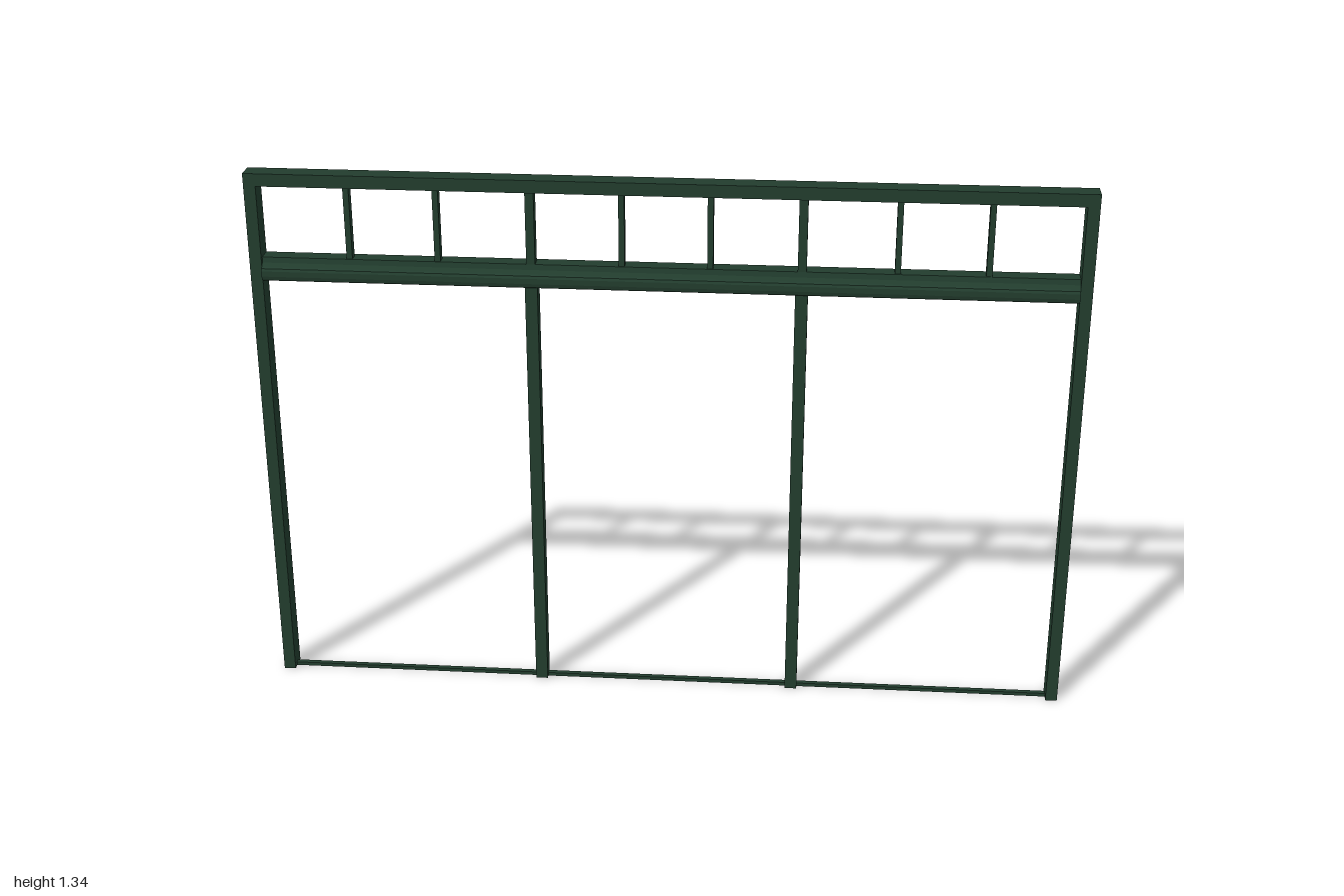
import * as THREE from 'three';

export function createModel() {
  const model = new THREE.Group();
  model.name = 'partitionFrame';
  const paint = new THREE.MeshStandardMaterial({ color: 0x223d2e, flatShading: true });

  const bar = (name, x0, x1, y0, y1, z0, z1) => {
    const mesh = new THREE.Mesh(new THREE.BoxGeometry(x1 - x0, y1 - y0, z1 - z0), paint);
    mesh.position.set((x0 + x1) / 2, (y0 + y1) / 2, (z0 + z1) / 2);
    mesh.name = name;
    model.add(mesh);
  };

  const H = 1.343, back = -0.028, front = 0.022, inner = 0.971;
  const railBottom = 1.08, railTop = 1.133, headBottom = 1.312;

  // Head beam and thin sill
  bar('headBeam', -inner, inner, headBottom, H, back, front);
  bar('sill', -inner, inner, 0, 0.009, -0.009, 0.004);

  // Transom rail with a rounded nose along its front, swept across the opening
  const profile = new THREE.Shape([
    [back, railBottom], [0.024, railBottom - 0.002], [0.029, 1.082], [0.031, 1.09],
    [0.031, 1.103], [0.028, 1.109], [0.021, 1.112], [0.015, 1.12],
    [0.012, railTop], [back, railTop],
  ].map(([z, y]) => new THREE.Vector2(-z, y)));
  const railGeometry = new THREE.ExtrudeGeometry(profile, { depth: inner * 2, bevelEnabled: false });
  railGeometry.rotateY(Math.PI / 2).translate(-inner, 0, 0);
  const rail = new THREE.Mesh(railGeometry, paint);
  rail.name = 'transomRail';
  model.add(rail);

  for (const [side, s] of [['left', 1], ['right', -1]]) {
    const upright = (name, x, w, y0, y1, z0, z1) =>
      bar(side + name, s * x - w / 2, s * x + w / 2, y0, y1, z0, z1);
    // Full-height outer post, intermediate post below the rail, mullions above it
    upright('OuterPost', 0.9855, 0.029, 0, H, back, front);
    upright('InnerPost', 0.322, 0.03, 0, railBottom, -0.022, 0.016);
    upright('MainMullion', 0.322, 0.021, railTop, headBottom, -0.019, 0.012);
    for (const x of [0.105, 0.546, 0.759])
      upright('Mullion', x, 0.014, railTop, headBottom, -0.015, 0.009);
  }
  return model;
}
